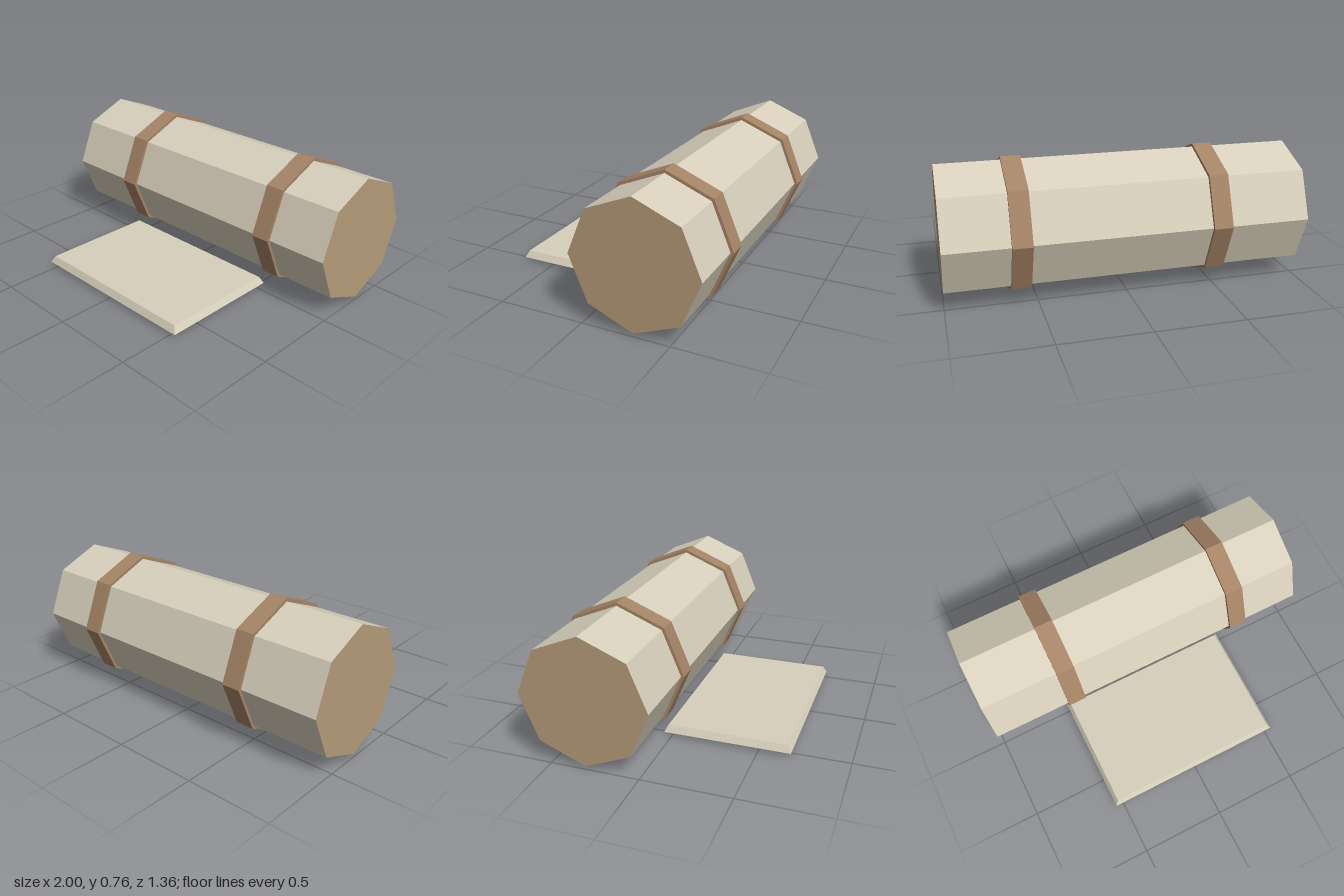
import * as THREE from 'three';

const material = (name, color) => {
  const m = new THREE.MeshStandardMaterial({ color, flatShading: true });
  m.name = name;
  return m;
};

export function createModel() {
  const cream = material('creamCloth', 0xd8d0bc);
  const tan = material('tanEnd', 0xb59b79);
  const brown = material('brownLeather', 0xa58466);

  const group = new THREE.Group();
  group.name = 'beddingRoll';
  const add = (name, geometry, mat, x, y, z) => {
    const mesh = new THREE.Mesh(geometry, mat);
    mesh.name = name;
    mesh.position.set(x, y, z);
    group.add(mesh);
  };

  // Eight-sided prism lying along x, with a corner pointing up
  const prism = (radius, length) =>
    new THREE.CylinderGeometry(radius, radius, length, 8).rotateZ(Math.PI / 2);
  const axisY = 0.382, axisZ = -0.3;

  // Rolled cloth with tan ends
  add('roll', prism(0.363, 2), [cream, tan, tan], 0, axisY, axisZ);

  // Two straps around the roll
  [['rightStrap', -0.492], ['leftStrap', 0.595]].forEach(([name, x]) =>
    add(name, prism(0.381, 0.108), brown, x, axisY, axisZ));

  // Flat pad in front, its upper edges bevelled inwards
  const width = 1.086, depth = 0.724, inset = 0.02;
  const pad = new THREE.BoxGeometry(width, 0.04, depth);
  const p = pad.attributes.position;
  for (let i = 0; i < p.count; i++) {
    if (p.getY(i) < 0) continue;
    p.setX(i, p.getX(i) - Math.sign(p.getX(i)) * inset);
    p.setZ(i, p.getZ(i) - Math.sign(p.getZ(i)) * inset);
  }
  pad.computeVertexNormals();
  add('pad', pad, cream, -0.002, 0.042, 0.319);

  return group;
}
